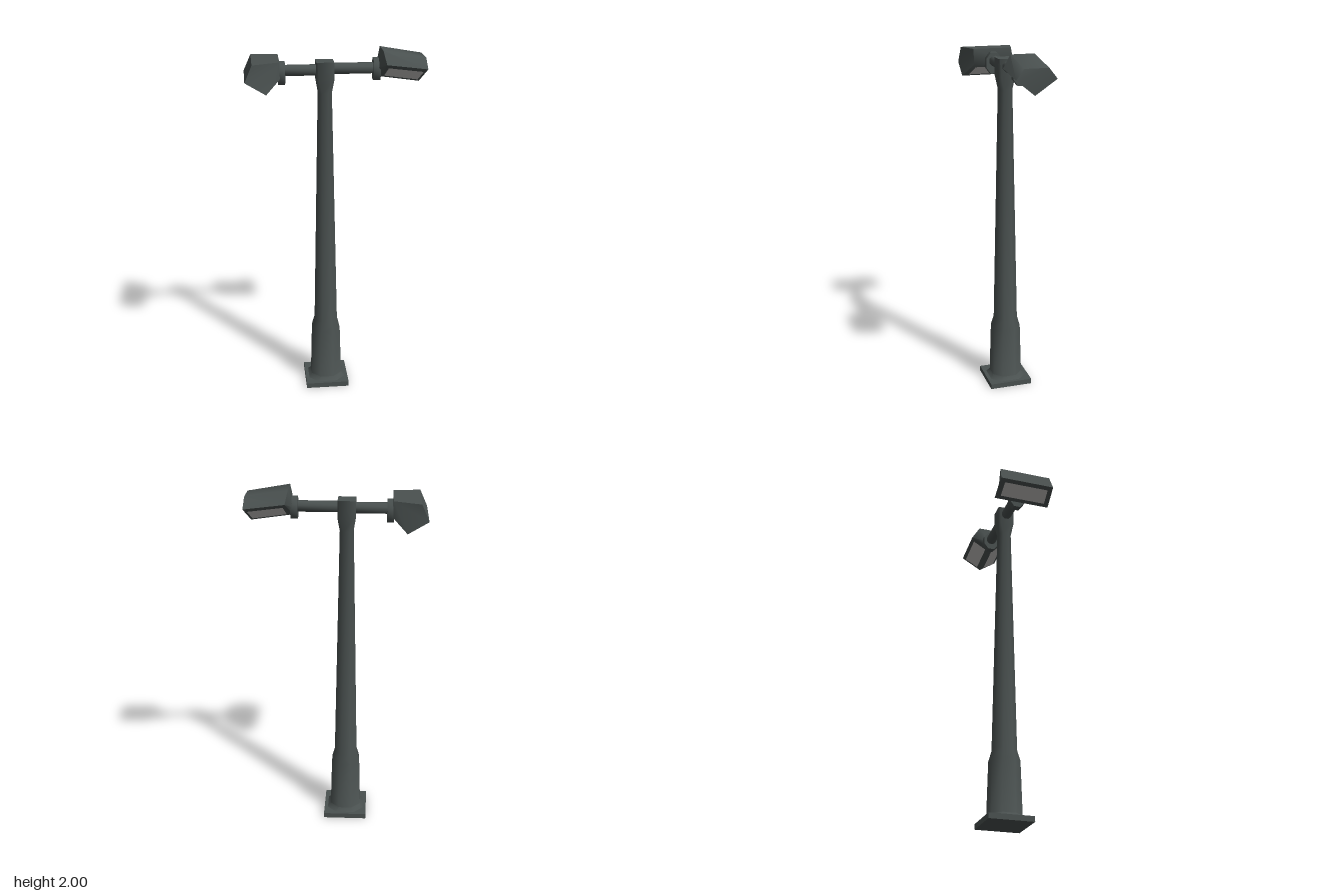
import * as THREE from 'three';
import { toCreasedNormals } from 'three/addons/utils/BufferGeometryUtils.js';

const POLE_X = -0.055;

// Skin a list of equal-length rings (counter-clockwise seen from the last one) and cap both ends
function loft(rings, crease = 0.9) {
  const n = rings[0].length, pos = [];
  const tri = (a, b, c) => pos.push(...a, ...b, ...c);
  for (let i = 0; i < rings.length - 1; i++) {
    const a = rings[i], b = rings[i + 1];
    for (let j = 0; j < n; j++) {
      const k = (j + 1) % n;
      tri(a[j], a[k], b[k]);
      tri(a[j], b[k], b[j]);
    }
  }
  const first = rings[0], last = rings[rings.length - 1];
  for (let j = 1; j < n - 1; j++) {
    tri(first[0], first[j + 1], first[j]);
    tri(last[0], last[j], last[j + 1]);
  }
  const g = new THREE.BufferGeometry();
  g.setAttribute('position', new THREE.Float32BufferAttribute(pos, 3));
  g.computeVertexNormals();
  return toCreasedNormals(g, crease);
}

// Square of half width r with corners cut by c, lying at height y
function cutSquare(y, r, c) {
  const s = r - c;
  return [[-s, r], [s, r], [r, s], [r, -s], [s, -r], [-s, -r], [-r, -s], [-r, s]]
    .map(([x, z]) => [x, y, z]);
}

// Thin pane set inside face j between two rings, raised slightly off the surface
function pane(a, b, j, inset) {
  const k = (j + 1) % a.length;
  const [p, q, r, s] = [a[j], a[k], b[k], b[j]].map(v => new THREE.Vector3(...v));
  const normal = r.clone().sub(p).cross(s.clone().sub(q)).normalize();
  const at = (u, v) => p.clone().lerp(q, u).lerp(s.clone().lerp(r, u), v).addScaledVector(normal, 0.005);
  const [u, v] = inset;
  const g = new THREE.BufferGeometry().setFromPoints([at(u, v), at(1 - u, v), at(1 - u, 1 - v), at(u, 1 - v)]);
  g.setIndex([0, 1, 2, 0, 2, 3]);
  g.computeVertexNormals();
  return g;
}

export function createModel() {
  const model = new THREE.Group();
  model.name = 'streetLamp';
  const metal = new THREE.MeshStandardMaterial({ color: 0x4a5150 });
  metal.name = 'dark grey metal';
  const glass = new THREE.MeshStandardMaterial({ color: 0xc2c0be });
  glass.name = 'pale lamp glass';

  const add = (name, geometry, material = metal, x = 0, y = 0, z = 0) => {
    const mesh = new THREE.Mesh(geometry, material);
    mesh.name = name;
    mesh.position.set(x, y, z);
    model.add(mesh);
    return mesh;
  };

  // Base plate
  add('basePlate', new THREE.BoxGeometry(0.25, 0.03, 0.25), metal, POLE_X, 0.015, 0);

  // Tapered post: foot, wide sleeve, long shaft, square head
  const post = [
    [0.03, 0.105, 0.05], [0.05, 0.088, 0.05], [0.35, 0.08, 0.046], [0.41, 0.064, 0.037],
    [1.77, 0.037, 0.02], [1.84, 0.048, 0.012], [1.94, 0.048, 0.004],
  ];
  add('post', loft(post.map(([y, r, c]) => cutSquare(y, r, c))), metal, POLE_X);

  // Side arms and their end flanges
  const rod = (name, x0, x1, y, ry, rz) => {
    const g = new THREE.CylinderGeometry(1, 1, x1 - x0, 8, 1, false, Math.PI / 8);
    g.rotateZ(Math.PI / 2);
    const k = 1 / Math.cos(Math.PI / 8);
    g.scale(1, ry * k, rz * k);
    add(name, toCreasedNormals(g, 0.9), metal, (x0 + x1) / 2, y, 0);
  };
  rod('rightArm', -0.28, POLE_X, 1.893, 0.028, 0.028);
  rod('leftArm', POLE_X, 0.22, 1.898, 0.028, 0.028);
  rod('rightFlange', -0.305, -0.268, 1.88, 0.06, 0.045);
  rod('leftFlange', 0.205, 0.243, 1.892, 0.058, 0.045);

  // Lamp on the +x side: pentagonal hood running outward along the arm
  const hood = (top, topZ, mid, midZ, low) => [
    [top[0], top[1], -topZ], [top[0], top[1], topZ],
    [mid[0], mid[1], midZ], [low[0], low[1], 0], [mid[0], mid[1], -midZ],
  ];
  const neck = hood([0.235, 1.95], 0.035, [0.232, 1.905], 0.045, [0.232, 1.855]);
  const inner = hood([0.25, 2.0], 0.065, [0.265, 1.932], 0.108, [0.245, 1.85]);
  const outer = hood([0.48, 1.96], 0.065, [0.485, 1.905], 0.108, [0.457, 1.82]);
  add('leftLampHood', loft([neck, inner, outer]));
  for (const j of [2, 3]) add('leftLampGlass', pane(inner, outer, j, [0.17, 0.07]), glass);

  // Lamp on the -x side: wide hood running across the arm, narrower toward the post
  const profile = [
    [-0.30, 1.96, 0.11], [-0.445, 1.955, 0.148], [-0.485, 1.865, 0.155],
    [-0.375, 1.80, 0.16], [-0.30, 1.87, 0.11],
  ];
  const back = profile.map(([x, y, z]) => [x, y, -z]);
  add('rightLampHood', loft([back, profile]));
  for (const j of [2, 3]) add('rightLampGlass', pane(back, profile, j, [0.17, 0.09]), glass);

  return model;
}
